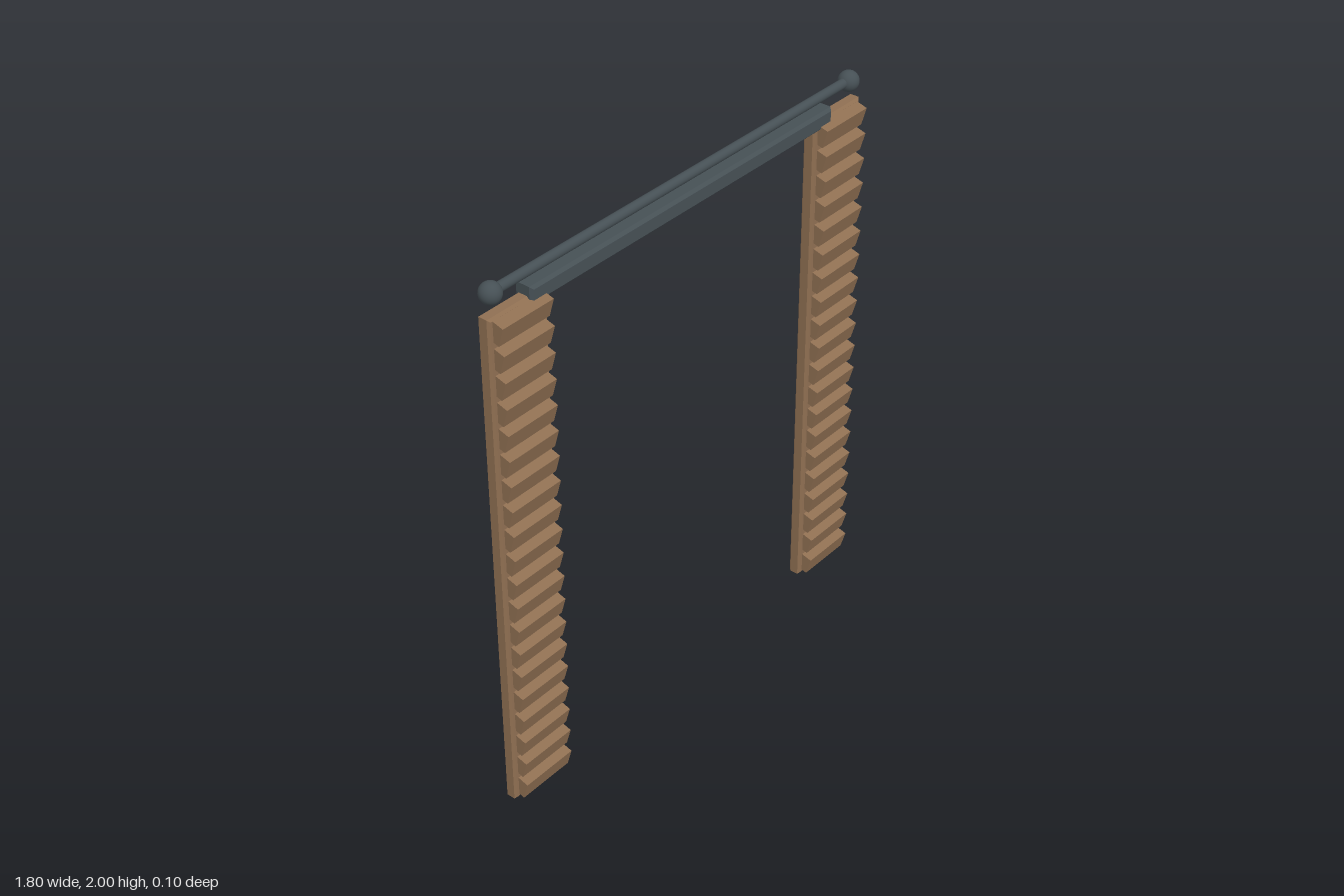
import * as THREE from 'three';

const wood = new THREE.MeshStandardMaterial({ color: 0x8f6f52 });
wood.name = 'wood';
const slate = new THREE.MeshStandardMaterial({ color: 0x465055 });
slate.name = 'slate metal';

const MID_Z = -0.014; // depth of the frame's centre plane

// Box with chamfered front and back edges, centred on its origin
function chamferedBox(w, h, d, b) {
  const x = w / 2 - b, y = h / 2 - b;
  const shape = new THREE.Shape([
    new THREE.Vector2(-x, -y), new THREE.Vector2(x, -y),
    new THREE.Vector2(x, y), new THREE.Vector2(-x, y),
  ]);
  const geo = new THREE.ExtrudeGeometry(shape, {
    depth: d - 2 * b, bevelEnabled: true, bevelSize: b, bevelThickness: b, bevelSegments: 1,
  });
  return geo.translate(0, 0, -(d / 2 - b));
}

function addMesh(parent, name, geo, mat, x, y, z) {
  const mesh = new THREE.Mesh(geo, mat);
  mesh.name = name;
  mesh.position.set(x, y, z);
  parent.add(mesh);
  return mesh;
}

export function createModel() {
  const model = new THREE.Group();
  model.name = 'louvredFrame';

  const panelGeo = chamferedBox(0.25, 1.894, 0.048, 0.008);
  const slatGeo = new THREE.BoxGeometry(0.217, 0.07, 0.042);
  const knobGeo = new THREE.SphereGeometry(0.037, 24, 16);

  for (const [side, s] of [['left', 1], ['right', -1]]) {
    // Tall shutter with twenty slats tipped towards the front
    const shutter = new THREE.Group();
    shutter.name = side + 'Shutter';
    shutter.position.x = s * 0.773;
    addMesh(shutter, 'panel', panelGeo, wood, 0, 0.947, MID_Z);
    for (let i = 0; i < 20; i++) {
      addMesh(shutter, 'slat', slatGeo, wood, 0, 0.049 + i * 0.0946, 0.0202).rotation.x = 0.28;
    }
    model.add(shutter);

    // Round knob at the end of the rod
    addMesh(model, side + 'Knob', knobGeo, slate, s * 0.86, 1.963, MID_Z);
  }

  // Lintel beam joining the shutters
  addMesh(model, 'lintel', chamferedBox(1.455, 0.064, 0.072, 0.01), slate, 0, 1.897, MID_Z);

  // Rod above the lintel
  const rodGeo = new THREE.CylinderGeometry(0.017, 0.017, 1.72, 16).rotateZ(Math.PI / 2);
  addMesh(model, 'rod', rodGeo, slate, 0, 1.965, MID_Z);

  return model;
}
